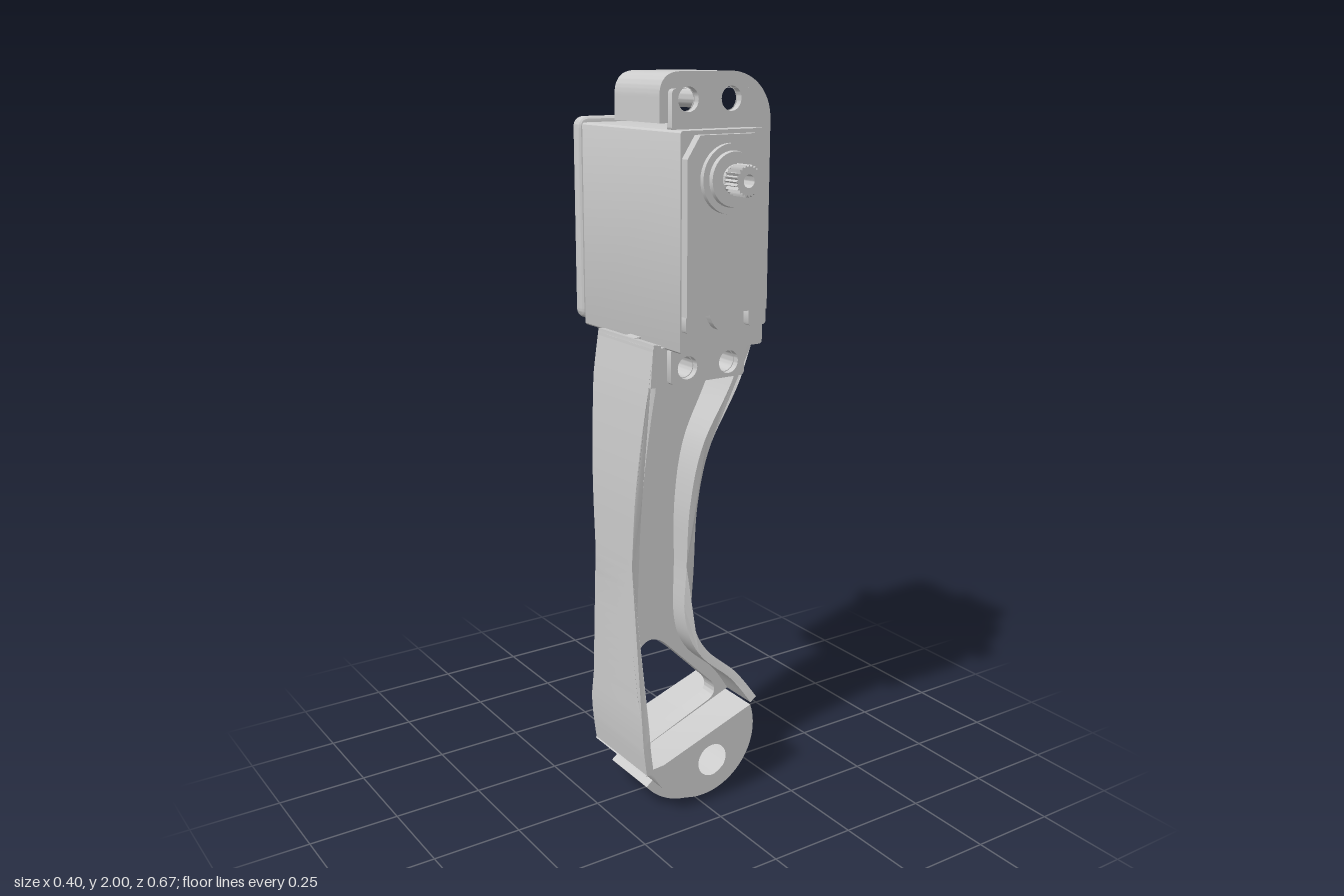
import * as THREE from 'three';
import { toCreasedNormals } from 'three/addons/utils/BufferGeometryUtils.js';

const V = (x, y) => new THREE.Vector2(x, y);
const material = new THREE.MeshStandardMaterial({ color: 0xcccccc });

export function createModel() {
  const group = new THREE.Group();

  const add = (name, geometry, x = 0, y = 0, z = 0) => {
    const mesh = new THREE.Mesh(toCreasedNormals(geometry, 0.5), material);
    mesh.name = name;
    mesh.position.set(x, y, z);
    group.add(mesh);
    return mesh;
  };
  const circle = (x, y, r) => new THREE.Path().absarc(x, y, r, 0, Math.PI * 2, true);
  // Extrude a shape between two z planes, optionally with bevelled edges
  const slab = (name, shape, z0, z1, holes = [], bevel = 0) => {
    shape.holes.push(...holes);
    const g = new THREE.ExtrudeGeometry(shape, {
      depth: z1 - z0 - 2 * bevel, curveSegments: 20, bevelEnabled: bevel > 0,
      bevelSize: bevel, bevelThickness: bevel, bevelOffset: -bevel, bevelSegments: 3,
    });
    g.translate(0, 0, z0 + bevel);
    return add(name, g);
  };
  const roundRect = (x0, y0, x1, y1, r) => {
    const s = new THREE.Shape();
    s.absarc(x1 - r, y1 - r, r, 0, Math.PI / 2);
    s.absarc(x0 + r, y1 - r, r, Math.PI / 2, Math.PI);
    s.absarc(x0 + r, y0 + r, r, Math.PI, Math.PI * 1.5);
    s.absarc(x1 - r, y0 + r, r, Math.PI * 1.5, Math.PI * 2);
    return s;
  };
  // Round part facing along z; profile is [radius, z] from back to front
  const turned = (name, y, profile) => {
    const g = new THREE.LatheGeometry(profile.map(([r, z]) => V(r, z)), 40);
    g.rotateX(Math.PI / 2);
    return add(name, g, 0, y);
  };

  // Side outlines of the arm, from top to bottom
  const rightEdge = new THREE.SplineCurve([
    V(0.195, 1.87), V(0.195, 1.7), V(0.193, 1.53), V(0.175, 1.4), V(0.105, 1.2), V(0.03, 1.04),
    V(0.002, 0.88), V(0, 0.7), V(0, 0.54), V(0.035, 0.45), V(0.125, 0.365), V(0.185, 0.28),
  ]).getSpacedPoints(100);
  const leftEdge = new THREE.SplineCurve([
    V(-0.158, 1.34), V(-0.18, 1.18), V(-0.197, 0.95), V(-0.2, 0.7), V(-0.2, 0.4), V(-0.197, 0.25), V(-0.185, 0.14),
  ]).getSpacedPoints(70);
  const upperRight = rightEdge.filter(p => p.y > 1.335);
  const lowerRight = rightEdge.filter(p => p.y < 1.36);

  const offset = (pts, d) => pts.map((p, i) => {
    const a = pts[Math.max(i - 1, 0)], b = pts[Math.min(i + 1, pts.length - 1)];
    const t = b.clone().sub(a).normalize();
    return V(p.x - t.y * d, p.y + t.x * d);
  });

  // Flanges: thin strips that are narrowest in z near the ankle
  const waist = y => {
    const k = y > 0.58 ? (y - 0.58) / 0.64 : (0.58 - y) / 0.3;
    const s = Math.min(k, 1);
    return s * (0.6 + 0.4 * s);
  };
  const flange = (name, pts, d) => {
    const shape = new THREE.Shape([...pts, ...offset(pts, d).reverse()]);
    const g = new THREE.ExtrudeGeometry(shape, { depth: 1, bevelEnabled: false });
    const p = g.attributes.position;
    for (let i = 0; i < p.count; i++) {
      const w = waist(p.getY(i));
      p.setZ(i, p.getZ(i) > 0.5 ? 0.105 + 0.055 * w : -0.065 - 0.045 * w);
    }
    add(name, g);
  };
  flange('rightFlange', lowerRight, -0.024);
  flange('leftFlange', leftEdge, 0.022);

  // Recessed web with the triangular opening
  const opening = new THREE.Path();
  opening.moveTo(-0.145, 0.43);
  opening.quadraticCurveTo(-0.14, 0.485, -0.095, 0.485);
  opening.quadraticCurveTo(-0.07, 0.48, -0.05, 0.46);
  opening.lineTo(0.105, 0.305);
  opening.quadraticCurveTo(0.13, 0.27, 0.1, 0.25);
  opening.lineTo(-0.115, 0.165);
  opening.quadraticCurveTo(-0.145, 0.16, -0.145, 0.19);
  opening.closePath();
  const web = new THREE.Shape([...offset(leftEdge, 0.012), ...offset(lowerRight, -0.012).reverse()]);
  slab('armWeb', web, 0, 0.05, [opening]);

  // Foot hub cut by a slanted top, with a curved sole pad around it
  const hub = new THREE.Shape();
  hub.moveTo(0.17, 0.272);
  hub.absarc(0, 0.2, 0.175, 0.35, -Math.PI + 0.34, true);
  hub.lineTo(-0.188, 0.14);
  hub.lineTo(-0.175, 0.155);
  hub.lineTo(-0.13, 0.158);
  hub.closePath();
  slab('footHub', hub, -0.11, 0.16, [circle(0.033, 0.125, 0.047)]);
  const pad = new THREE.Shape();
  pad.absarc(0, 0.2, 0.2, 0, -Math.PI * 0.79, true);
  pad.absarc(0, 0.2, 0.17, -Math.PI * 0.79, 0, false);
  slab('solePad', pad, -0.07, 0.115);

  // Motor bracket: top block and side wall
  const holePair = (y, r) => [circle(-0.068, y, r), circle(0.06, y, r)];
  const bracket = new THREE.Shape();
  bracket.moveTo(-0.14, 1.88);
  bracket.lineTo(-0.14, 1.94);
  bracket.quadraticCurveTo(-0.14, 2, -0.08, 2);
  bracket.lineTo(0.07, 2);
  bracket.bezierCurveTo(0.14, 2, 0.195, 1.95, 0.195, 1.88);
  upperRight.forEach(p => bracket.lineTo(p.x, p.y));
  bracket.lineTo(0.127, 1.33);
  bracket.lineTo(0.127, 1.88);
  bracket.closePath();
  slab('upperBracket', bracket, -0.045, 0.16, holePair(1.935, 0.028));

  const wall = new THREE.Shape([V(0.127, 1.88), V(0.127, 1.34), ...[...upperRight].reverse(), V(0.192, 1.88)]);
  slab('coverSideWall', wall, -0.25, -0.045);

  const plate = new THREE.Shape();
  plate.moveTo(-0.135, 1.37);
  plate.lineTo(-0.135, 1.85);
  plate.quadraticCurveTo(-0.135, 1.88, -0.105, 1.88);
  plate.lineTo(0.165, 1.88);
  plate.quadraticCurveTo(0.195, 1.88, 0.195, 1.85);
  upperRight.filter(p => p.y < 1.83 && p.y > 1.38).forEach(p => plate.lineTo(p.x, p.y));
  plate.quadraticCurveTo(0.165, 1.34, 0.13, 1.34);
  plate.lineTo(-0.105, 1.34);
  plate.quadraticCurveTo(-0.135, 1.34, -0.135, 1.37);
  slab('coverBackPlate', plate, -0.272, -0.232, [], 0.012);

  const lowerBlock = new THREE.Shape([V(-0.16, 1.33), V(-0.168, 1.23), V(0.105, 1.23), V(0.14, 1.33)]);
  slab('lowerBracket', lowerBlock, -0.11, 0.16, holePair(1.275, 0.028));

  // Motor: case, mounting ears, front plate
  slab('motorCase', roundRect(-0.126, 1.325, 0.127, 1.865, 0.008), -0.234, 0.23);
  slab('upperEar', roundRect(-0.115, 1.86, 0.127, 1.96, 0.01), 0.155, 0.178, holePair(1.935, 0.03));
  slab('lowerEar', roundRect(-0.118, 1.235, 0.11, 1.33, 0.01), 0.155, 0.178, holePair(1.275, 0.03));

  const face = new THREE.Shape();
  face.moveTo(-0.122, 1.42);
  face.lineTo(0.122, 1.42);
  face.lineTo(0.122, 1.8);
  face.lineTo(0.085, 1.855);
  face.lineTo(-0.085, 1.855);
  face.lineTo(-0.122, 1.8);
  face.closePath();
  slab('motorFrontPlate', face, 0.225, 0.254);
  const tab = new THREE.Shape();
  tab.moveTo(0.055, 1.43);
  tab.lineTo(-0.055, 1.43);
  tab.quadraticCurveTo(-0.04, 1.38, -0.015, 1.378);
  tab.lineTo(0.015, 1.378);
  tab.quadraticCurveTo(0.04, 1.38, 0.055, 1.43);
  slab('frontTab', tab, 0.225, 0.25);
  for (const s of [-1, 1]) {
    slab('frontCornerRib', roundRect(s * 0.095 - 0.027, 1.38, s * 0.095 + 0.027, 1.425, 0.008), 0.225, 0.25);
  }

  // Output boss and splined shaft
  turned('outputBoss', 1.75, [
    [0, 0.24], [0.085, 0.24], [0.085, 0.267], [0.068, 0.267], [0.066, 0.278], [0.036, 0.278], [0.036, 0.288], [0, 0.288],
  ]);
  const teeth = 24;
  const spline = new THREE.Shape(Array.from({ length: teeth * 2 }, (_, i) => {
    const a = i * Math.PI / teeth, r = i % 2 ? 0.033 : 0.039;
    return V(r * Math.cos(a), 1.75 + r * Math.sin(a));
  }));
  slab('outputShaft', spline, 0.286, 0.335, [circle(0, 1.75, 0.016)]);

  // Rear pivot pin with a flared root
  turned('rearPin', 1.757, [
    [0, -0.337], [0.026, -0.337], [0.032, -0.331], [0.032, -0.288], [0.048, -0.27], [0.048, -0.26], [0, -0.26],
  ]);

  return group;
}
